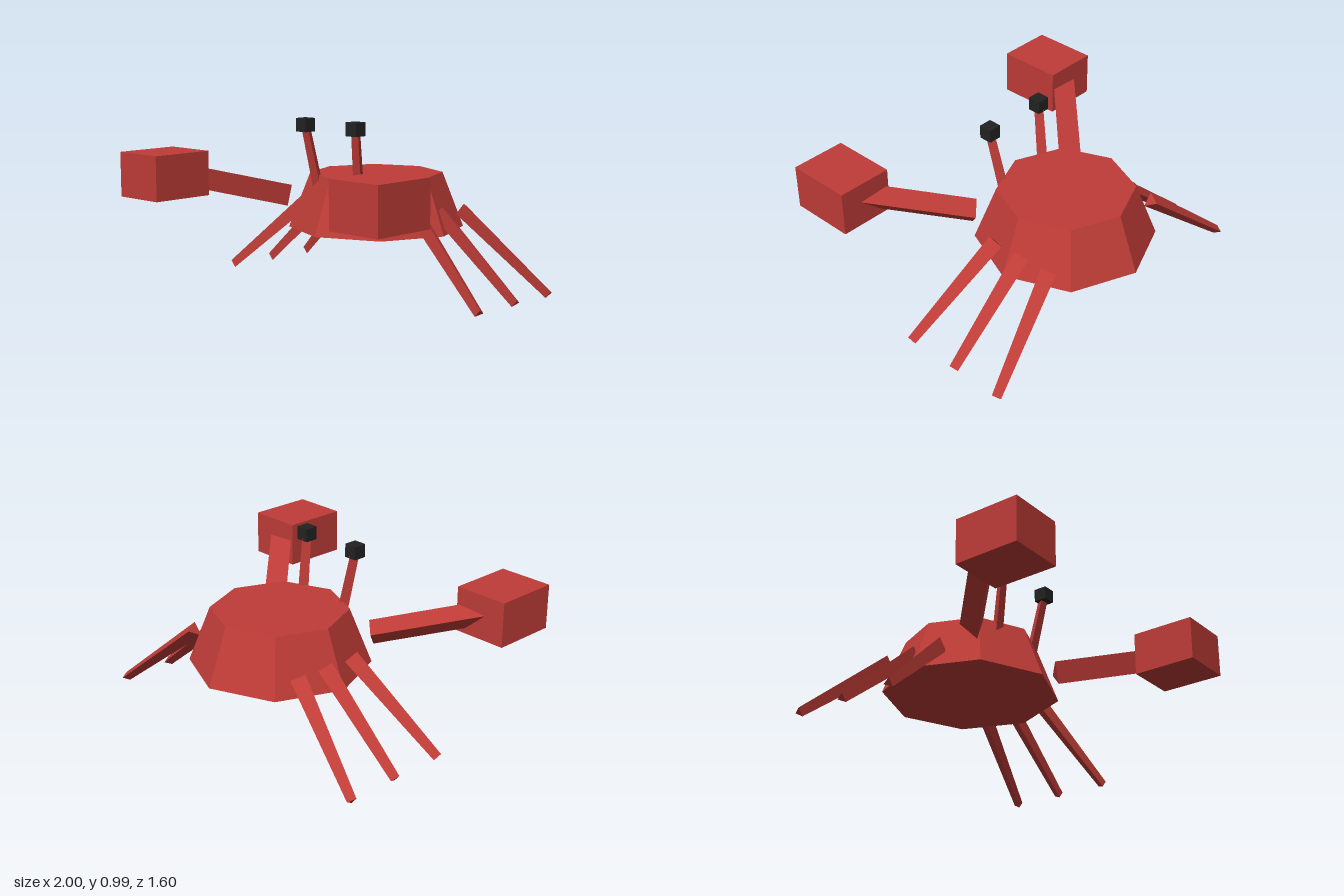
import * as THREE from 'three';

export function createModel() {
  const crab = new THREE.Group();
  crab.name = 'crab';

  const shellRed = new THREE.MeshStandardMaterial({ color: 0xbf3c37 });
  shellRed.name = 'shellRed';
  const eyeBlack = new THREE.MeshStandardMaterial({ color: 0x222222 });
  eyeBlack.name = 'eyeBlack';

  // Faceted mesh: unshared corners give flat normals
  function add(name, geometry, material) {
    const faceted = geometry.toNonIndexed();
    faceted.computeVertexNormals();
    const mesh = new THREE.Mesh(faceted, material);
    mesh.name = name;
    crab.add(mesh);
    return mesh;
  }

  // Three-sided tapered limb between two points; one ridge faces `ridge`
  function limb(name, from, to, rFrom, rTo, ridge) {
    const a = new THREE.Vector3(...from);
    const b = new THREE.Vector3(...to);
    const axis = b.clone().sub(a);
    const length = axis.length();
    axis.normalize();
    const out = new THREE.Vector3(...ridge);
    out.addScaledVector(axis, -out.dot(axis)).normalize();
    const across = axis.clone().cross(out);
    const mesh = add(name, new THREE.CylinderGeometry(rTo, rFrom, length, 3), shellRed);
    mesh.quaternion.setFromRotationMatrix(new THREE.Matrix4().makeBasis(across, axis, out));
    mesh.position.copy(a).add(b).multiplyScalar(0.5);
  }

  // Octagonal shell
  add('shell', new THREE.CylinderGeometry(0.387, 0.512, 0.32, 8), shellRed)
    .position.set(0, 0.51, -0.29);

  // Legs: root z and tip z
  const legs = [
    ['frontLeg', -0.165, -0.035],
    ['middleLeg', -0.355, -0.36],
    ['backLeg', -0.55, -0.675],
  ];

  for (const [side, s] of [['left', 1], ['right', -1]]) {
    for (const [name, rootZ, tipZ] of legs) {
      limb(`${side} ${name}`, [s * 0.434, 0.475, rootZ], [s * 0.967, 0.027, tipZ], 0.05, 0.03, [0, 0, -1]);
    }

    // Arm and block claw
    limb(`${side} arm`, [s * 0.387, 0.543, 0.038], [s * 0.84, 0.672, 0.491], 0.078, 0.078, [s * -0.042, 0.057, 0.037]);
    add(`${side} claw`, new THREE.BoxGeometry(0.325, 0.26, 0.385), shellRed)
      .position.set(s * 0.8375, 0.67, 0.61);

    // Eye on a leaning stalk
    limb(`${side} eyeStalk`, [s * 0.16, 0.59, 0.025], [s * 0.195, 0.95, 0.092], 0.035, 0.03, [0, 0, -1]);
    add(`${side} eye`, new THREE.BoxGeometry(0.077, 0.077, 0.077), eyeBlack)
      .position.set(s * 0.195, 0.961, 0.098);
  }

  return crab;
}
